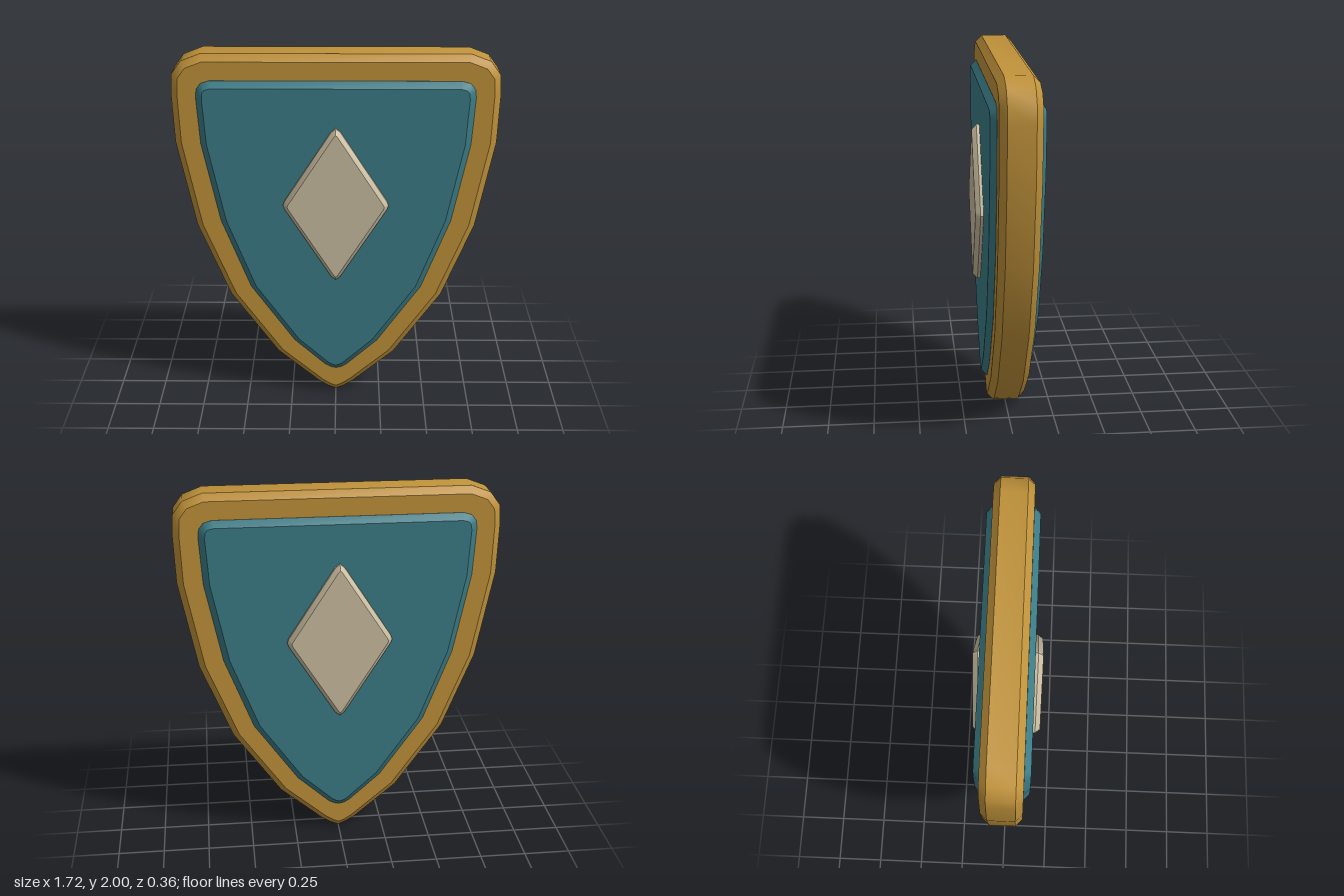
import * as THREE from 'three';
import { toCreasedNormals } from 'three/addons/utils/BufferGeometryUtils.js';

const gold = new THREE.MeshStandardMaterial({ name: 'gold', color: 0xc0923a });
const teal = new THREE.MeshStandardMaterial({ name: 'teal', color: 0x3b7c87 });
const ivory = new THREE.MeshStandardMaterial({ name: 'ivory', color: 0xccbfa2 });

// Right-hand half outlines, from the bottom centre up to the top
const rimHalf = [[0, 0], [0.045, 0.018], [0.095, 0.05], [0.328, 0.25], [0.587, 0.617], [0.757, 1.04],
  [0.852, 1.52], [0.862, 1.79], [0.855, 1.89], [0.804, 1.96], [0.7, 2]];
const panelHalf = [[0, 0.158], [0.03, 0.165], [0.06, 0.182], [0.233, 0.34], [0.471, 0.68], [0.624, 1.08],
  [0.714, 1.52], [0.73, 1.775], [0.725, 1.82], [0.7, 1.852], [0.656, 1.865]];
const diamondHalf = [[0, 0.745], [0.025, 0.765], [0.275, 1.165], [0.283, 1.187], [0.275, 1.209],
  [0.025, 1.6], [0, 1.62]];

// Full counter-clockwise outline from one half
function mirrored(half) {
  const left = half.filter((p) => p[0] > 0).reverse().map(([x, y]) => [-x, y]);
  return [...half, ...left].map(([x, y]) => new THREE.Vector2(x, y));
}

// Moves every edge of the outline inwards by d
function inset(points, d) {
  const n = points.length;
  return points.map((p, i) => {
    const a = p.clone().sub(points[(i + n - 1) % n]).normalize();
    const b = points[(i + 1) % n].clone().sub(p).normalize();
    const normal = new THREE.Vector2(-a.y - b.y, a.x + b.x);
    return p.clone().addScaledVector(normal, d / (1 + a.dot(b)));
  });
}

// Slab with bevelled edges on both the front and the back
function slab(name, half, bevel, wallZ, faceZ, material) {
  const outer = mirrored(half);
  const inner = inset(outer, bevel);
  const n = outer.length;
  const rings = [[inner, -faceZ], [outer, -wallZ], [outer, wallZ], [inner, faceZ]];
  const position = rings.flatMap(([ring, z]) => ring.flatMap((p) => [p.x, p.y, z]));
  const index = [];
  for (let r = 0; r < 3; r++) {
    for (let i = 0; i < n; i++) {
      const a = r * n + i;
      const b = r * n + (i + 1) % n;
      index.push(a, b, b + n, a, b + n, a + n);
    }
  }
  for (const [a, b, c] of THREE.ShapeUtils.triangulateShape(inner, [])) {
    index.push(3 * n + a, 3 * n + b, 3 * n + c, c, b, a);
  }
  const geometry = new THREE.BufferGeometry();
  geometry.setAttribute('position', new THREE.Float32BufferAttribute(position, 3));
  geometry.setIndex(index);
  const mesh = new THREE.Mesh(toCreasedNormals(geometry, 0.6), material);
  mesh.name = name;
  return mesh;
}

export function createModel() {
  const shield = new THREE.Group();
  shield.name = 'shield';
  shield.add(
    slab('rim', rimHalf, 0.036, 0.07, 0.105, gold),
    slab('panel', panelHalf, 0.034, 0.106, 0.138, teal),
    slab('diamondBoss', diamondHalf, 0.022, 0.154, 0.18, ivory),
  );
  return shield;
}
